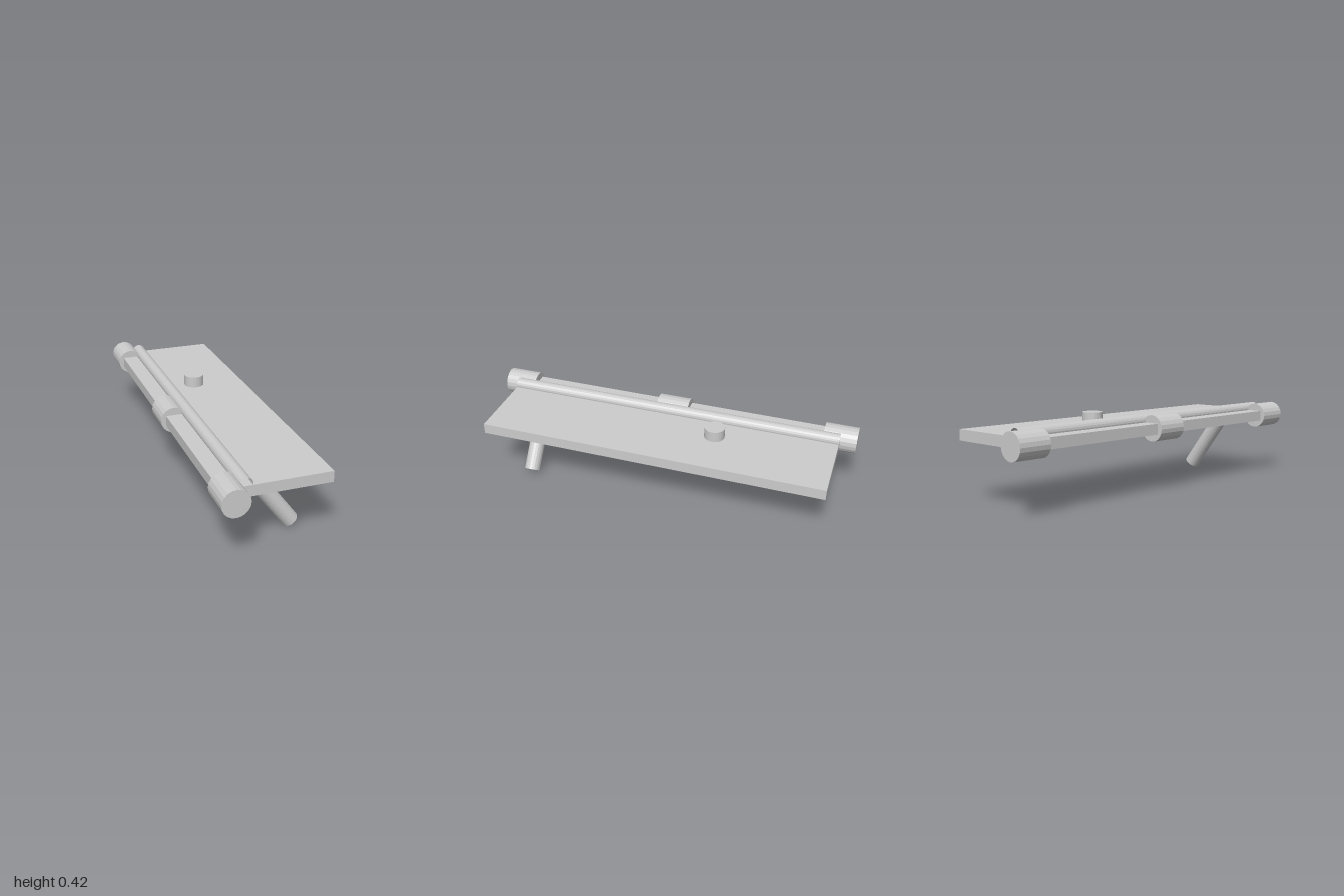
import * as THREE from 'three';

const SIDES = 20;
const solid = new THREE.MeshStandardMaterial({ color: 0xcccccc, flatShading: true });
const thin = new THREE.MeshStandardMaterial({ color: 0xcccccc, flatShading: true, side: THREE.DoubleSide });

export function createModel() {
  const model = new THREE.Group();

  function add(name, geometry, material, x, y, z) {
    const mesh = new THREE.Mesh(geometry, material);
    mesh.name = name;
    mesh.position.set(x, y, z);
    model.add(mesh);
    return mesh;
  }

  // Cylinder between two points; open ones are hollow tubes without caps
  function cylinder(name, radius, from, to, open = false) {
    const a = new THREE.Vector3(...from);
    const b = new THREE.Vector3(...to);
    const axis = b.clone().sub(a);
    const mid = a.clone().add(b).multiplyScalar(0.5);
    const geometry = new THREE.CylinderGeometry(radius, radius, axis.length(), SIDES, 1, open);
    const mesh = add(name, geometry, open ? thin : solid, mid.x, mid.y, mid.z);
    mesh.quaternion.setFromUnitVectors(new THREE.Vector3(0, 1, 0), axis.normalize());
    return mesh;
  }

  // Long flat panel
  add('panel', new THREE.BoxGeometry(0.548, 0.056, 1.828), solid, 0.014, 0.338, 0);

  // Hinge barrels along the side edge
  const barrels = { backHinge: -0.9125, middleHinge: 0.004, frontHinge: 0.9125 };
  for (const [name, z] of Object.entries(barrels)) {
    cylinder(name, 0.069, [-0.218, 0.338, z - 0.0875], [-0.218, 0.338, z + 0.0875]);
  }

  // Hollow rod half sunk into the panel beside the hinges
  cylinder('edgeRod', 0.034, [-0.142, 0.373, -0.914], [-0.142, 0.373, 0.914], true);

  // Round knob on top
  cylinder('knob', 0.054, [0.014, 0.338, -0.285], [0.014, 0.424, -0.285]);

  // Slanted hollow handle below
  cylinder('handle', 0.042, [-0.063, 0.338, 0.72], [0.17, 0.026, 0.72], true);

  return model;
}
